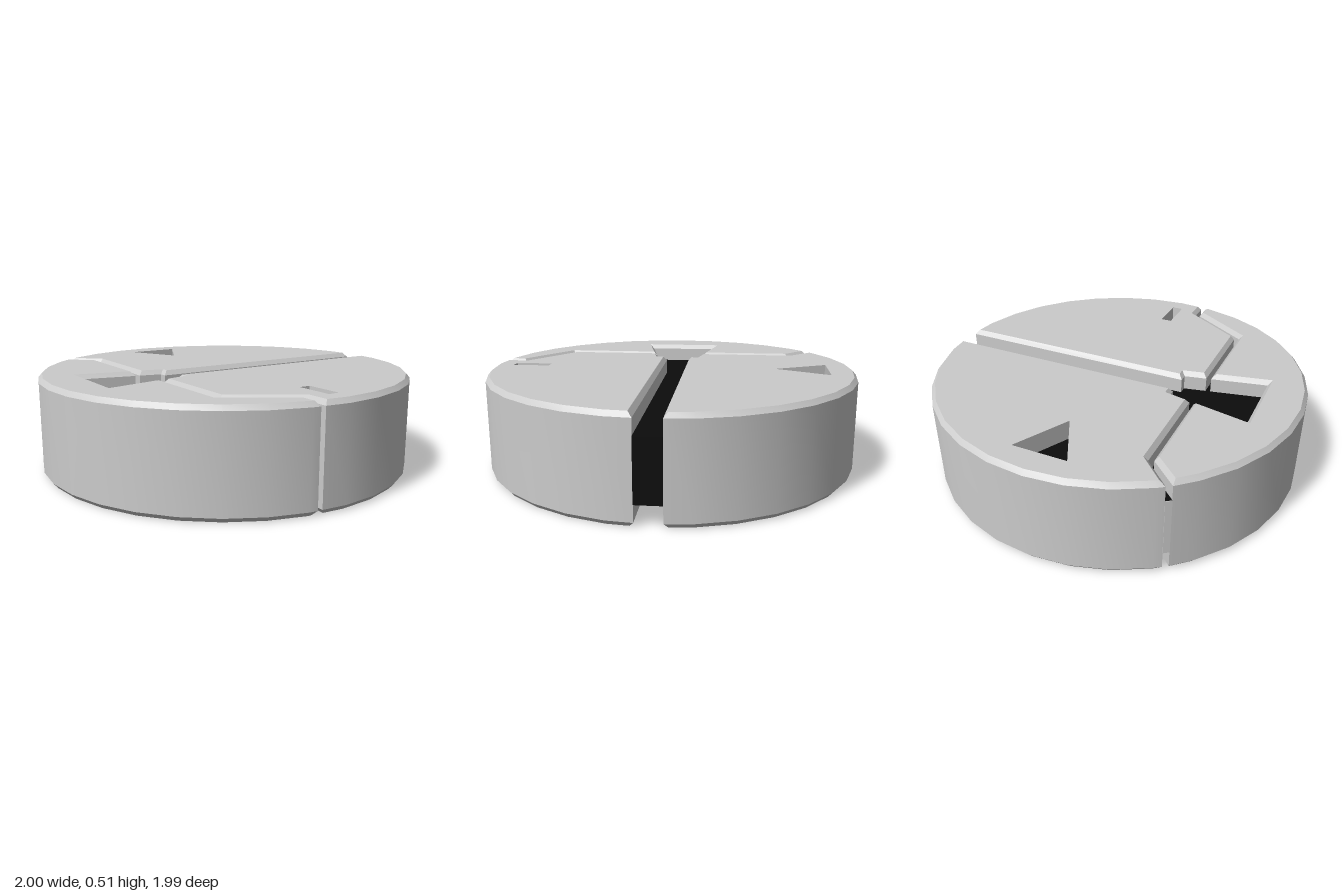
import * as THREE from 'three';
import { toCreasedNormals } from 'three/addons/utils/BufferGeometryUtils.js';

const H = 0.515, R = 0.997, BEVEL = 0.02, CORE_LOW = 0.11, CORE_TOP = 0.415;

// Vertices of the 32-sided rim, as [x, z]
function rim(from, to) {
  const pts = [];
  for (let i = from; i <= to; i++) pts.push([R * Math.cos(i * Math.PI / 16), R * Math.sin(i * Math.PI / 16)]);
  return pts;
}

// Move every corner of a loop inward along its mitre
function inset(loop, d) {
  const n = loop.length;
  const normal = (p, q) => {
    const l = Math.hypot(q[0] - p[0], q[1] - p[1]);
    return [-(q[1] - p[1]) / l, (q[0] - p[0]) / l];
  };
  return loop.map((p, i) => {
    const a = normal(loop[(i + n - 1) % n], p), b = normal(p, loop[(i + 1) % n]);
    const k = d / (1 + a[0] * b[0] + a[1] * b[1]);
    return [p[0] + (a[0] + b[0]) * k, p[1] + (a[1] + b[1]) * k];
  });
}

// Upright slab with chamfered rims and optional blind pockets in its top
function slab(loop, low, high, { bevel = 0, pockets = [], floor = 0 } = {}) {
  const pos = [];
  const tri = (...v) => v.forEach(p => pos.push(...p));
  const at = (p, y) => [p[0], y, p[1]];
  const wall = (a, ya, b, yb) => a.forEach((_, i) => {
    const j = (i + 1) % a.length;
    tri(at(a[i], ya), at(b[i], yb), at(b[j], yb));
    tri(at(a[i], ya), at(b[j], yb), at(a[j], ya));
  });
  const cap = (outer, holes, y, up) => {
    const vec = l => l.map(p => new THREE.Vector2(...p));
    const all = [outer, ...holes].flat();
    for (const f of THREE.ShapeUtils.triangulateShape(vec(outer), holes.map(vec))) {
      const [a, b, c] = f.map(i => all[i]);
      const facesUp = (b[0] - a[0]) * (c[1] - a[1]) - (b[1] - a[1]) * (c[0] - a[0]) < 0;
      if (facesUp === up) tri(at(a, y), at(b, y), at(c, y));
      else tri(at(a, y), at(c, y), at(b, y));
    }
  };
  const inner = bevel ? inset(loop, bevel) : loop;
  const step = bevel * 1.2;
  if (bevel) {
    wall(inner, low, loop, low + step);
    wall(loop, high - step, inner, high);
  }
  wall(loop, low + step, loop, high - step);
  cap(inner, pockets, high, true);
  cap(inner, [], low, false);
  pockets.forEach(p => wall(p, floor, p, high));
  const g = new THREE.BufferGeometry();
  g.setAttribute('position', new THREE.Float32BufferAttribute(pos, 3));
  return toCreasedNormals(g, 0.4);
}

export function createModel() {
  const group = new THREE.Group();
  const grey = new THREE.MeshStandardMaterial({ color: 0xcccccc });
  const dark = new THREE.MeshStandardMaterial({ color: 0x0c0c0c });
  const add = (name, geometry, material) => {
    const m = new THREE.Mesh(geometry, material);
    m.name = name;
    group.add(m);
  };

  // Groove edges that separate the three segments
  const leftEdge = [[-0.613, -0.788], [-0.475, -0.66], [-0.475, -0.139], [-0.765, -0.2],
    [-0.765, 0.2], [-0.475, 0.139], [-0.475, 0.665], [-0.155, 0.88]];
  const backEdge = [[-0.335, -0.065], [-0.335, -0.11], [-0.45, -0.134], [-0.45, -0.67], [-0.587, -0.806]];
  const frontEdge = [[-0.13, 0.865], [-0.45, 0.65], [-0.45, 0.134], [-0.335, 0.11], [-0.335, 0.065]];

  // Pockets in the top
  const triangle = [[-0.143, -0.85], [0, -0.565], [0.143, -0.85]];
  const bar = [[-0.03, 0.69], [-0.03, 0.89], [0.03, 0.89], [0.03, 0.69]];

  // Three chamfered segments of the disc
  add('sideSegment', slab([...rim(9, 20), ...leftEdge, [-0.155, 0.982]], 0, H, { bevel: BEVEL }), grey);
  add('backSegment', slab([...rim(21, 31), [0.991, -0.065], ...backEdge], 0, H,
    { bevel: BEVEL, pockets: [triangle], floor: CORE_TOP }), grey);
  add('frontSegment', slab([[0.991, 0.065], ...rim(1, 8), [-0.13, 0.984], ...frontEdge], 0, H,
    { bevel: BEVEL, pockets: [bar], floor: CORE_TOP }), grey);

  // Dark core filling the middle of the grooves
  const core = [[1, -0.065], [1, 0.065], ...[...frontEdge].reverse(), ...[...leftEdge].reverse(), ...[...backEdge].reverse()];
  add('core', slab(core, CORE_LOW, CORE_TOP), dark);

  // Dark pocket floors
  add('trianglePocketFloor', slab([...triangle].reverse(), CORE_TOP - 0.03, CORE_TOP), dark);
  add('barPocketFloor', slab([...bar].reverse(), CORE_TOP - 0.03, CORE_TOP), dark);

  // Grey bridge closing the rear groove at the rim
  add('rimBridge', slab([[-0.615, -0.79], [-0.589, -0.809], [-0.583, -0.802], [-0.609, -0.784]],
    CORE_LOW + 0.002, CORE_TOP - 0.002), grey);

  return group;
}
